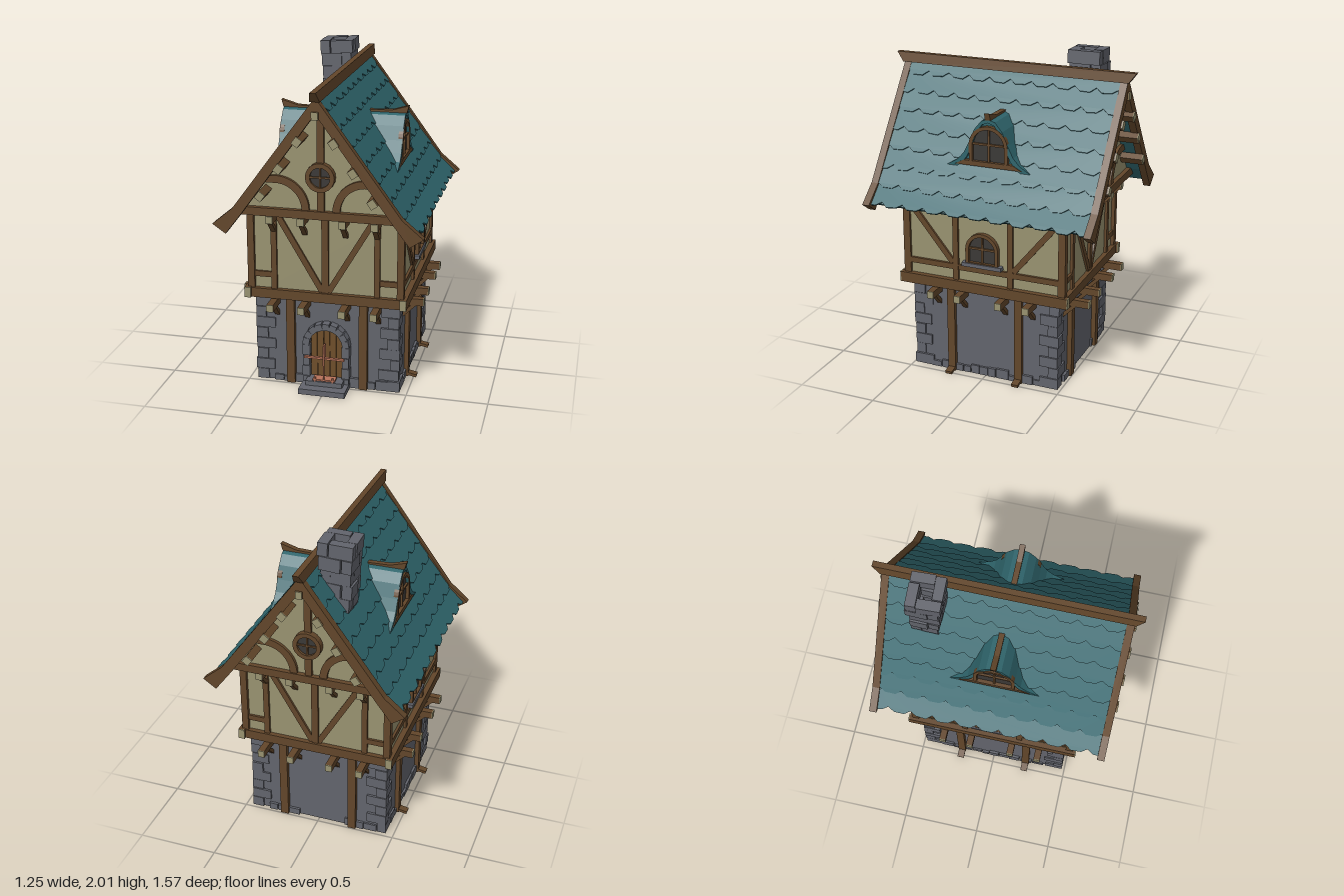
import * as THREE from 'three';

const mat = (name, color, double) => {
  const m = new THREE.MeshStandardMaterial({ color });
  m.name = name;
  if (double) m.side = THREE.DoubleSide;
  return m;
};
const STONE = mat('stone', 0x62646c), TIMBER = mat('timber', 0x62462a), PLASTER = mat('plaster', 0x989270);
const TILE = mat('teal tile', 0x2f656c), GLASS = mat('dark glass', 0x3a3836), COPPER = mat('copper', 0xb8735a);
const DOOR = mat('door wood', 0x6e4e2a);

let seed = 7;
const rnd = (a, b) => { seed = (seed * 16807) % 2147483647; return a + (b - a) * seed / 2147483647; };

const add = (parent, name, geo, m, x = 0, y = 0, z = 0) => {
  const mesh = new THREE.Mesh(geo, m);
  mesh.name = name;
  mesh.position.set(x, y, z);
  parent.add(mesh);
  return mesh;
};
const box = (p, name, m, w, h, d, x, y, z) => add(p, name, new THREE.BoxGeometry(w, h, d), m, x, y, z);
const group = (p, name, ry = 0) => {
  const g = new THREE.Group();
  g.name = name;
  g.rotation.y = ry;
  p.add(g);
  return g;
};
const poly = pts => new THREE.Shape(pts.map(p => new THREE.Vector2(p[0], p[1])));
const extrude = (shape, depth) => new THREE.ExtrudeGeometry(shape, { depth, bevelEnabled: false, curveSegments: 10 });
// mirror a half profile that starts on the centre line
const mirrored = half => [...half, ...half.slice(1).reverse().map(([x, y]) => [-x, y])];

// timber laid in the face plane between two points
function brace(p, x1, y1, x2, y2, w, d, z) {
  const m = box(p, 'brace', TIMBER, w, Math.hypot(x2 - x1, y2 - y1), d, (x1 + x2) / 2, (y1 + y2) / 2, z);
  m.rotation.z = -Math.atan2(x2 - x1, y2 - y1);
}

// joist end with pale end grain and a strut beneath
function joist(p, x, y, wall, out) {
  box(p, 'joist', TIMBER, 0.042, 0.045, out - wall + 0.05, x, y, (out + wall - 0.05) / 2);
  box(p, 'joistEnd', PLASTER, 0.042, 0.045, 0.006, x, y, out + 0.003);
  const s = box(p, 'strut', TIMBER, 0.03, 0.13, 0.022, x, y - 0.055, wall + 0.035);
  s.rotation.x = Math.PI / 4;
}

function archShape(hw, y0, top, Type = THREE.Shape) {
  const s = new Type();
  s.moveTo(-hw, y0);
  s.lineTo(hw, y0);
  s.absarc(0, top - hw, hw, 0, Math.PI, false);
  s.lineTo(-hw, y0);
  return s;
}

function archWindow(p, hw, y0, top, z) {
  const ring = archShape(hw, y0, top);
  ring.holes.push(archShape(hw - 0.022, y0 + 0.02, top - 0.022, THREE.Path));
  add(p, 'windowFrame', extrude(ring, 0.03), TIMBER, 0, 0, z);
  add(p, 'windowGlass', extrude(archShape(hw - 0.015, y0 + 0.01, top - 0.015), 0.006), GLASS, 0, 0, z + 0.004);
  box(p, 'mullion', TIMBER, 0.012, top - y0 - 0.02, 0.014, 0, (y0 + top) / 2, z + 0.015);
  box(p, 'transom', TIMBER, hw * 2 - 0.02, 0.012, 0.014, 0, y0 + (top - y0) * 0.52, z + 0.015);
}

// ground storey: stone box, corner stones and plinth
function stoneBase(g) {
  box(g, 'stoneWall', STONE, 0.88, 0.565, 0.94, 0, 0.2825, 0);
  for (const sx of [-1, 1]) for (const sz of [-1, 1]) {
    for (let i = 0, y = 0; i < 8; i++) {
      const h = 0.07, long = i % 2, lx = (long ? 0.12 : 0.065) + rnd(-0.01, 0.01), lz = (long ? 0.065 : 0.12) + rnd(-0.01, 0.01);
      const ox = 0.452 + rnd(-0.005, 0.004), oz = 0.482 + rnd(-0.005, 0.006);
      box(g, 'cornerStone', STONE, lx, h - 0.004, lz, sx * (ox - lx / 2), y + h / 2, sz * (oz - lz / 2));
      y += h;
    }
  }
}

function plinth(g, half, wall, gap) {
  for (let x = -half; x < half - 0.02;) {
    const w = rnd(0.05, 0.09), h = rnd(0.03, 0.065);
    if (Math.abs(x + w / 2) > gap) box(g, 'plinthStone', STONE, w - 0.004, h, 0.04, x + w / 2, h / 2, wall - 0.006 + rnd(-0.004, 0.004));
    x += w;
  }
}

// gable-side framing, drawn facing +z
function gableFace(g) {
  plinth(g, 0.34, 0.47, 0.16);
  for (const s of [-1, 1]) {
    box(g, 'basePost', TIMBER, 0.052, 0.565, 0.05, s * 0.228, 0.2825, 0.475);
    for (const x of [0.125, 0.317]) {
      joist(g, s * x, 0.545, 0.47, 0.63);
      joist(g, s * x, 1.1, 0.52, 0.61);
    }
    box(g, 'cornerPost', TIMBER, 0.042, 0.52, 0.045, s * 0.46, 0.88, 0.51);
    box(g, 'stud', TIMBER, 0.035, 0.52, 0.03, s * 0.317, 0.88, 0.512);
    box(g, 'rail', TIMBER, 0.12, 0.035, 0.025, s * 0.39, 0.722, 0.512);
    brace(g, s * 0.02, 0.64, s * 0.295, 1.11, 0.036, 0.024, 0.512);
    const c = new THREE.Shape(), a = s > 0 ? Math.PI : 0;
    c.moveTo(s * 0.07, 1.17);
    c.absarc(s * 0.27, 1.18, 0.2, a, Math.PI / 2, s > 0);
    c.lineTo(s * 0.32, 1.375);
    c.lineTo(s * 0.34, 1.335);
    c.absarc(s * 0.27, 1.18, 0.155, Math.PI / 2, a, s < 0);
    add(g, 'curvedBrace', extrude(c, 0.025), TIMBER, 0, 0, 0.595);
    // purlin ends under the verge boards
    [[0.106, 1.62], [0.217, 1.455], [0.33, 1.285]].forEach(([x, y]) => {
      const m = box(g, 'purlin', TIMBER, 0.05, 0.045, 0.2, s * x, y, 0.64);
      m.rotation.z = -s * 0.94;
      box(m, 'purlinEnd', PLASTER, 0.05, 0.045, 0.006, 0, 0, 0.103);
    });
  }
  box(g, 'sillBeam', TIMBER, 0.94, 0.06, 0.05, 0, 0.603, 0.515);
  box(g, 'centrePost', TIMBER, 0.042, 0.5, 0.03, 0, 0.88, 0.512);
  box(g, 'gableBeam', TIMBER, 0.98, 0.05, 0.05, 0, 1.155, 0.605);
  box(g, 'kingPost', TIMBER, 0.042, 0.62, 0.03, 0, 1.48, 0.605);
  box(g, 'ridgePurlin', TIMBER, 0.04, 0.045, 0.2, 0, 1.775, 0.64);
  box(g, 'ridgePurlinEnd', PLASTER, 0.04, 0.045, 0.006, 0, 1.775, 0.743);
  // round window
  const ring = new THREE.Shape().absarc(0, 0, 0.087, 0, Math.PI * 2, false);
  ring.holes.push(new THREE.Path().absarc(0, 0, 0.06, 0, Math.PI * 2, true));
  add(g, 'roundFrame', extrude(ring, 0.04), TIMBER, 0, 1.387, 0.6);
  add(g, 'roundGlass', new THREE.CircleGeometry(0.065, 20), GLASS, 0, 1.387, 0.624);
  box(g, 'roundMullion', TIMBER, 0.01, 0.125, 0.01, 0, 1.387, 0.628);
  box(g, 'roundTransom', TIMBER, 0.125, 0.01, 0.01, 0, 1.387, 0.628);
  // verge boards with flared feet
  const verge = poly(mirrored([[0, 1.88], [0.5, 1.2], [0.625, 1.095], [0.545, 1.04], [0.45, 1.165], [0, 1.785]].slice(0, 5)).slice(0, 5)
    .concat([[0, 1.785], [-0.45, 1.165], [-0.545, 1.04], [-0.625, 1.095], [-0.5, 1.2]]));
  add(g, 'vergeBoard', extrude(verge, 0.045), TIMBER, 0, 0, 0.688);
}

// eave-side framing, drawn facing +z and turned to face x
function eaveFace(g) {
  plinth(g, 0.37, 0.44, 0);
  for (const s of [-1, 1]) {
    box(g, 'basePost', TIMBER, 0.05, 0.565, 0.05, s * 0.225, 0.2825, 0.442);
    const foot = box(g, 'postFoot', TIMBER, 0.045, 0.018, 0.09, s * 0.225, 0.014, 0.475);
    foot.rotation.x = 0.2;
    for (const x of [0.135, 0.315]) joist(g, s * x, 0.545, 0.44, 0.565);
    box(g, 'stud', TIMBER, 0.035, 0.52, 0.03, s * 0.18, 0.88, 0.467);
    brace(g, s * 0.2, 0.745, s * 0.48, 1.09, 0.036, 0.024, 0.467);
    box(g, 'sillEnd', PLASTER, 0.006, 0.065, 0.04, s * 0.553, 0.605, 0.48);
  }
  box(g, 'sillBeam', TIMBER, 1.1, 0.065, 0.04, 0, 0.605, 0.48);
  box(g, 'rail', TIMBER, 1.0, 0.035, 0.026, 0, 0.722, 0.468);
  archWindow(g, 0.107, 0.755, 0.965, 0.465);
  box(g, 'windowSill', STONE, 0.26, 0.024, 0.05, 0, 0.757, 0.478);
}

// roof slope: point at distance s down from the ridge
const RIDGE = new THREE.Vector2(0, 1.85), BREAK = new THREE.Vector2(0.47, 1.2), EAVE = new THREE.Vector2(0.575, 1.09);
const L1 = RIDGE.distanceTo(BREAK), L2 = BREAK.distanceTo(EAVE);
const slopeAt = s => s < L1 ? RIDGE.clone().lerp(BREAK, Math.max(s, 0) / L1) : BREAK.clone().lerp(EAVE, (s - L1) / L2);

function tileRows(g) {
  const half = 0.69, tile = 0.138;
  for (let i = 0; i < 8; i++) {
    const s = 0.07 + i * (L1 + L2 - 0.07) / 7, low = slopeAt(s), top = slopeAt(s - 0.15);
    const up = top.clone().sub(low), len = up.length();
    up.normalize();
    const pts = [[half, len], [-half, len]];
    for (let x = -half - (i % 2) * tile / 2; x < half; x += tile) {
      for (const [f, d] of [[0, 0.014], [0.27, -0.014 + rnd(-0.004, 0.004)], [0.73, -0.014 + rnd(-0.004, 0.004)], [0.99, 0.014]])
        pts.push([THREE.MathUtils.clamp(x + f * tile, -half, half), d]);
    }
    const m = add(g, 'tileRow', extrude(poly(pts), 0.01), TILE);
    const X = new THREE.Vector3(0, 0, -1), Y = new THREE.Vector3(up.x, up.y, 0), Z = X.clone().cross(Y);
    m.quaternion.setFromRotationMatrix(new THREE.Matrix4().makeBasis(X, Y, Z));
    m.position.set(low.x, low.y, 0).addScaledVector(Z, 0.008);
    m.rotateX(-0.06);
  }
}

// bell-shaped dormer, drawn facing +z
function dormer(g) {
  const half = [[0, 1.65], [0.045, 1.635], [0.09, 1.58], [0.125, 1.5], [0.16, 1.43], [0.2, 1.385], [0.275, 1.34]];
  const inner = half.map(([x, y]) => [x * 0.87, y - 0.022]);
  add(g, 'dormerBody', extrude(poly(mirrored([...half, [0.24, 1.3]])), 0.26), TILE, 0, 0, 0.1);
  const eave = poly([...half.slice(1).reverse().map(([x, y]) => [-x, y]), ...half, ...inner.slice().reverse(), ...inner.slice(1).map(([x, y]) => [-x, y])]);
  add(g, 'dormerEave', extrude(eave, 0.03), TILE, 0, 0, 0.355);
  archWindow(g, 0.125, 1.365, 1.605, 0.358);
  add(g, 'dormerSill', extrude(poly([[-0.215, 1.355], [0.215, 1.355], [0.16, 1.385], [-0.16, 1.385]]), 0.035), TIMBER, 0, 0, 0.355);
  // upturned ridge piece, profile swept across the width
  const cap = extrude(poly([[-0.15, 1.63], [-0.3, 1.63], [-0.39, 1.645], [-0.402, 1.69], [-0.3, 1.66], [-0.15, 1.655]]), 0.034);
  const m = add(g, 'dormerRidge', cap, TIMBER, -0.017, 0, 0);
  m.rotation.y = Math.PI / 2;
}

// leaning chimney of hollow stone courses
function chimney(g) {
  for (let i = 0; i < 6; i++) {
    const c = group(g, 'chimneyCourse', rnd(-0.05, 0.05)), w = [0.15, 0.155, 0.165, 0.18, 0.19, 0.2][i], t = 0.06;
    c.position.set(-0.14 + rnd(-0.006, 0.006), 1.55 + i * 0.083, -0.44 + rnd(-0.006, 0.006));
    c.rotation.z = 0.05;
    for (let k = 0; k < 4; k++) {
      const q = group(c, 'chimneySide', k * Math.PI / 2), off = (i % 2 ? 1 : -1) * t / 2;
      box(q, 'chimneyStone', STONE, w - t, 0.08 + rnd(0, 0.006), t, off, 0, w / 2 - t / 2 + rnd(0, 0.008));
    }
  }
}

// arched door with stone surround, steps and copper fittings
function entrance(g) {
  for (let i = -2; i <= 2; i++) {
    const top = 0.28 + Math.sqrt(0.011 - (i * 0.04) ** 2);
    box(g, 'doorPlank', DOOR, 0.037, top - 0.06, 0.03, i * 0.04, (top + 0.06) / 2, 0.476);
  }
  add(g, 'doorBack', extrude(archShape(0.105, 0.05, 0.385), 0.01), TIMBER, 0, 0, 0.472);
  for (const s of [-1, 1]) for (let i = 0; i < 4; i++)
    box(g, 'jambStone', STONE, 0.04 + (i % 2) * 0.008, 0.066, 0.06, s * 0.123, 0.035 + i * 0.07, 0.492);
  for (let i = 0; i < 9; i++) {
    const a = (i + 0.5) / 9 * Math.PI;
    const m = box(g, 'archStone', STONE, 0.042, 0.044, 0.06 + rnd(0, 0.01), Math.cos(a) * 0.125, 0.28 + Math.sin(a) * 0.125, 0.492);
    m.rotation.z = a;
  }
  box(g, 'lowerStep', STONE, 0.29, 0.035, 0.16, 0, 0.0175, 0.56);
  box(g, 'upperStep', STONE, 0.23, 0.03, 0.1, 0, 0.05, 0.53);
  box(g, 'copperBar', COPPER, 0.25, 0.012, 0.018, 0, 0.215, 0.555);
  box(g, 'copperPlate', COPPER, 0.008, 0.1, 0.05, 0, 0.255, 0.555);
  box(g, 'copperRod', COPPER, 0.008, 0.14, 0.008, 0, 0.145, 0.575);
  box(g, 'copperTray', COPPER, 0.14, 0.01, 0.06, 0, 0.076, 0.55);
  for (const s of [-1, 1]) box(g, 'copperPeg', COPPER, 0.01, 0.03, 0.01, s * 0.055, 0.08, 0.575);
}

export function createModel() {
  const house = new THREE.Group();
  house.name = 'timberHouse';
  stoneBase(group(house, 'stoneBase'));
  box(house, 'upperWall', PLASTER, 0.93, 0.6, 1.02, 0, 0.865, 0);
  const gable = poly([[-0.465, 1.13], [0.465, 1.13], [0.465, 1.18], [0, 1.825], [-0.465, 1.18]]);
  add(house, 'gableWall', extrude(gable, 1.2), PLASTER, 0, 0, -0.6);
  for (const [i, side] of ['front', 'back'].entries()) gableFace(group(house, side + 'Framing', i * Math.PI));
  for (const [i, side] of ['left', 'right'].entries()) {
    const turn = Math.PI / 2 + i * Math.PI;
    eaveFace(group(house, side + 'Framing', turn));
    dormer(group(house, side + 'Dormer', turn));
    tileRows(group(house, side + 'Tiles', i * Math.PI));
  }
  // roof deck and ridge beam
  const deck = poly([[0, 1.85], [0.47, 1.2], [0.57, 1.095], [0.55, 1.08], [0.45, 1.175], [0, 1.8], [-0.45, 1.175], [-0.55, 1.08], [-0.57, 1.095], [-0.47, 1.2]]);
  add(house, 'roofDeck', extrude(deck, 1.39), TILE, 0, 0, -0.695);
  const ridge = extrude(poly([[-0.74, 1.855], [0.74, 1.855], [0.785, 1.915], [-0.785, 1.915]]), 0.06);
  ridge.translate(0, 0, -0.03);
  const p = ridge.attributes.position;
  for (let i = 0; i < p.count; i++) if (p.getY(i) > 1.9) p.setZ(i, p.getZ(i) * 0.6);
  ridge.computeVertexNormals();
  add(house, 'ridgeBeam', ridge, TIMBER).rotation.y = Math.PI / 2;
  chimney(group(house, 'chimney'));
  entrance(group(house, 'entrance'));
  return house;
}
